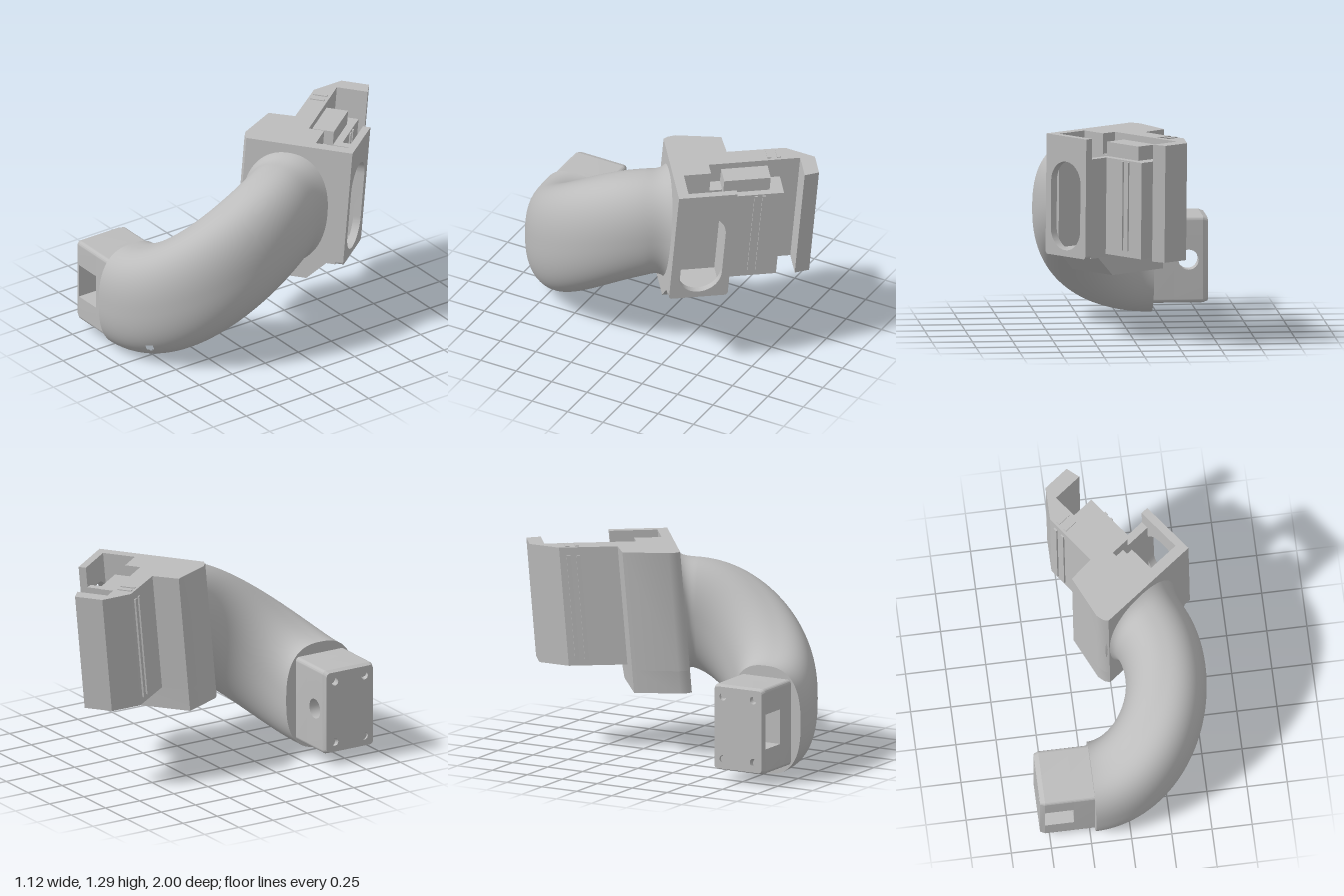
import * as THREE from 'three';
import { toCreasedNormals } from 'three/addons/utils/BufferGeometryUtils.js';

const TOP = 1.28;
const grey = new THREE.MeshStandardMaterial({ color: 0xbcbcbc });
grey.name = 'plain grey';

function add(parent, name, geo) {
  const mesh = new THREE.Mesh(geo, grey);
  mesh.name = name;
  parent.add(mesh);
  return mesh;
}

const poly = (pts) => new THREE.Shape(pts.map(([x, y]) => new THREE.Vector2(x, y)));

// Rectangle with its own radius for the top and bottom corners
function roundRect(x0, y0, x1, y1, rTop, rBottom, path = new THREE.Shape()) {
  const q = Math.PI / 2;
  path.moveTo(x0 + rBottom, y0);
  path.absarc(x1 - rBottom, y0 + rBottom, rBottom, -q, 0);
  path.absarc(x1 - rTop, y1 - rTop, rTop, 0, q);
  path.absarc(x0 + rTop, y1 - rTop, rTop, q, 2 * q);
  path.absarc(x0 + rBottom, y0 + rBottom, rBottom, 2 * q, 3 * q);
  return path;
}

function circle(x, y, r) {
  const p = new THREE.Path();
  p.absarc(x, y, r, 0, Math.PI * 2, true);
  return p;
}

const extrude = (shape, depth) =>
  new THREE.ExtrudeGeometry(shape, { depth, bevelEnabled: false, curveSegments: 12 });

// Shape drawn in (-z, y), extruded from x0 to x1
const alongX = (shape, x0, x1) => extrude(shape, x1 - x0).rotateY(Math.PI / 2).translate(x0, 0, 0);

// Plan shape drawn in (x, z), standing between y0 and y1
const upright = (shape, y0, y1) => extrude(shape, y1 - y0).rotateX(Math.PI / 2).translate(0, y1, 0);

// Turns head geometry to its angle and leans it backwards towards the top
function headFrame(geo) {
  geo.rotateY(Math.asin(0.6));
  const p = geo.attributes.position;
  for (let i = 0; i < p.count; i++) p.setZ(i, p.getZ(i) + 0.095 * (TOP - p.getY(i)));
  return toCreasedNormals(geo, 0.6);
}

// Curved neck: squarish oval sections swept round an arc while rising,
// taller where the climb is steepest and flared where it meets the block
function neckPoint(t, a) {
  const phi = t * (Math.PI / 2 + Math.asin(0.6));
  const rise = t * t * (3 - 2 * t);
  const stretch = Math.hypot(1, 2.6 * t * (1 - t));
  const k = Math.max(0, (t - 0.92) / 0.08);
  const flare = 0.045 * k * k * k;
  const e = 2 / (2.6 - 0.4 * t);
  const c = Math.cos(a), n = Math.sin(a);
  const r = 0.53 + (0.25 + flare) * Math.sign(c) * Math.abs(c) ** e;
  const dy = (0.34 * stretch + flare) * Math.sign(n) * Math.abs(n) ** e;
  return new THREE.Vector3(
    -0.22 + r * Math.sin(phi) - 0.012 * k,
    0.34 + 0.51 * rise + dy,
    0.22 + r * Math.cos(phi) - (0.016 + 0.095 * dy) * k);
}

function neckGeometry() {
  const N = 96, M = 144, pos = [], idx = [];
  const hole = new THREE.Vector3(0.13, 0.13, 0.86);
  for (let i = 0; i <= N; i++) {
    for (let j = 0; j < M; j++) pos.push(...neckPoint(i / N, (j / M) * Math.PI * 2).toArray());
  }
  for (let i = 0; i < N; i++) {
    for (let j = 0; j < M; j++) {
      const mid = neckPoint((i + 0.5) / N, ((j + 0.5) / M) * Math.PI * 2);
      if (mid.distanceTo(hole) < 0.03) continue; // small drain hole
      const a = i * M + j, b = i * M + (j + 1) % M;
      idx.push(a, a + M, b + M, a, b + M, b);
    }
  }
  // Flat end with its own vertices
  const base = pos.length / 3;
  pos.push(-0.22, 0.34, 0.75);
  for (let j = 0; j < M; j++) {
    pos.push(...neckPoint(0, (j / M) * Math.PI * 2).toArray());
    idx.push(base, base + 1 + j, base + 1 + (j + 1) % M);
  }
  const g = new THREE.BufferGeometry();
  g.setAttribute('position', new THREE.Float32BufferAttribute(pos, 3));
  g.setIndex(idx);
  g.computeVertexNormals();
  return g;
}

function buildPlug() {
  const plug = new THREE.Group();
  plug.name = 'plug';
  const r = 0.025, z0 = -0.93, z1 = -0.57;
  const part = (name, geo) => add(plug, name, toCreasedNormals(geo, 0.5));

  // End plate with four screw holes and a chamfered rim
  const end = roundRect(z0, 0.07, z1, 0.61, r, r);
  for (const y of [0.135, 0.545]) for (const z of [-0.865, -0.635]) end.holes.push(circle(z, y, 0.025));
  const endGeo = alongX(end, -0.56, -0.53);
  const p = endGeo.attributes.position;
  for (let i = 0; i < p.count; i++) {
    if (p.getX(i) < -0.55) {
      p.setY(i, 0.34 + (p.getY(i) - 0.34) * 0.96);
      p.setZ(i, 0.75 + (p.getZ(i) - 0.75) * 0.94);
    }
  }
  part('plugEnd', endGeo);
  part('plugRoot', alongX(roundRect(z0, 0.07, z1, 0.61, r, r), -0.35, -0.22));

  // Slabs above and below the square pocket, and the bored wall behind it
  part('plugTop', alongX(roundRect(z0, 0.45, z1, 0.61, r, 0), -0.53, -0.35));
  part('plugBottom', alongX(roundRect(z0, 0.07, z1, 0.23, 0, r), -0.53, -0.35));
  const wall = poly([[-0.53, 0.23], [-0.35, 0.23], [-0.35, 0.45], [-0.53, 0.45]]);
  wall.holes.push(circle(-0.44, 0.34, 0.063));
  part('boredWall', extrude(wall, 0.09).translate(0, 0, 0.57));
  return plug;
}

function buildHead() {
  const head = new THREE.Group();
  head.name = 'clampHead';
  const part = (name, geo) => add(head, name, headFrame(geo));
  const box = (name, x0, x1, y0, y1, z0, z1) => part(name,
    new THREE.BoxGeometry(x1 - x0, y1 - y0, z1 - z0)
      .translate((x0 + x1) / 2, (y0 + y1) / 2, (z0 + z1) / 2));

  // Full-height block, arm and hooked end lip
  const leftSide = [[-0.03, 0.006], [-0.05, -0.02], [-0.06, -0.07], [0, -0.35]];
  part('blockAndArm', upright(poly([
    [0.61, 0.006], ...leftSide, [0.17, -0.36],
    [0.175, -0.724], [0.3, -0.892], [0.48, -0.892], [0.5, -0.8], [0.3, -0.8],
    [0.3, -0.23], [0.4, -0.23], [0.4, -0.06], [0.61, -0.06]]), 0.54, TOP));

  // Stepped shelf that also closes the back of the pocket
  part('shelf', upright(poly([
    [0.3, -0.23], [0.3, -0.684], [0.488, -0.684], [0.488, -0.36], [0.61, -0.36],
    [0.61, -0.31], [0.4, -0.31], [0.4, -0.23]]), 0.54, 1.15));
  box('upperShelf', 0.3, 0.44, 1.15, 1.24, -0.6, -0.31);
  box('pocketFloor', 0.4, 0.61, 0.52, 0.56, -0.36, 0.006);

  // Side wall with a long oval opening
  const side = roundRect(-0.006, 0.52, 0.36, TOP, 0, 0.02);
  side.holes.push(roundRect(0.04, 0.56, 0.31, 1.12, 0.135, 0.135, new THREE.Path()));
  part('sideWall', alongX(side, 0.61, 0.658));

  // Foot under the block, sloping in at the right end
  const foot = upright(poly([[0.57, 0.006], ...leftSide, [0.57, -0.36]]), 0.4, 0.54);
  const p = foot.attributes.position;
  for (let i = 0; i < p.count; i++) {
    if (p.getY(i) < 0.45 && p.getX(i) > 0.3) p.setX(i, 0.43);
  }
  part('foot', foot);

  // Grip ribs on both faces and on top of the arm
  for (const b of [-0.51, -0.56]) box('shelfRib', 0.48, 0.498, 0.58, 1.14, b - 0.01, b + 0.01);
  for (const b of [-0.61, -0.67]) {
    box('armRib', 0.163, 0.183, 0.58, 1.23, b - 0.012, b + 0.012);
    box('topRib', 0.19, 0.28, 1.27, 1.286, b - 0.012, b + 0.012);
  }
  return head;
}

export function createModel() {
  const model = new THREE.Group();
  model.name = 'curvedMount';
  add(model, 'neck', neckGeometry());
  model.add(buildPlug(), buildHead());
  return model;
}
